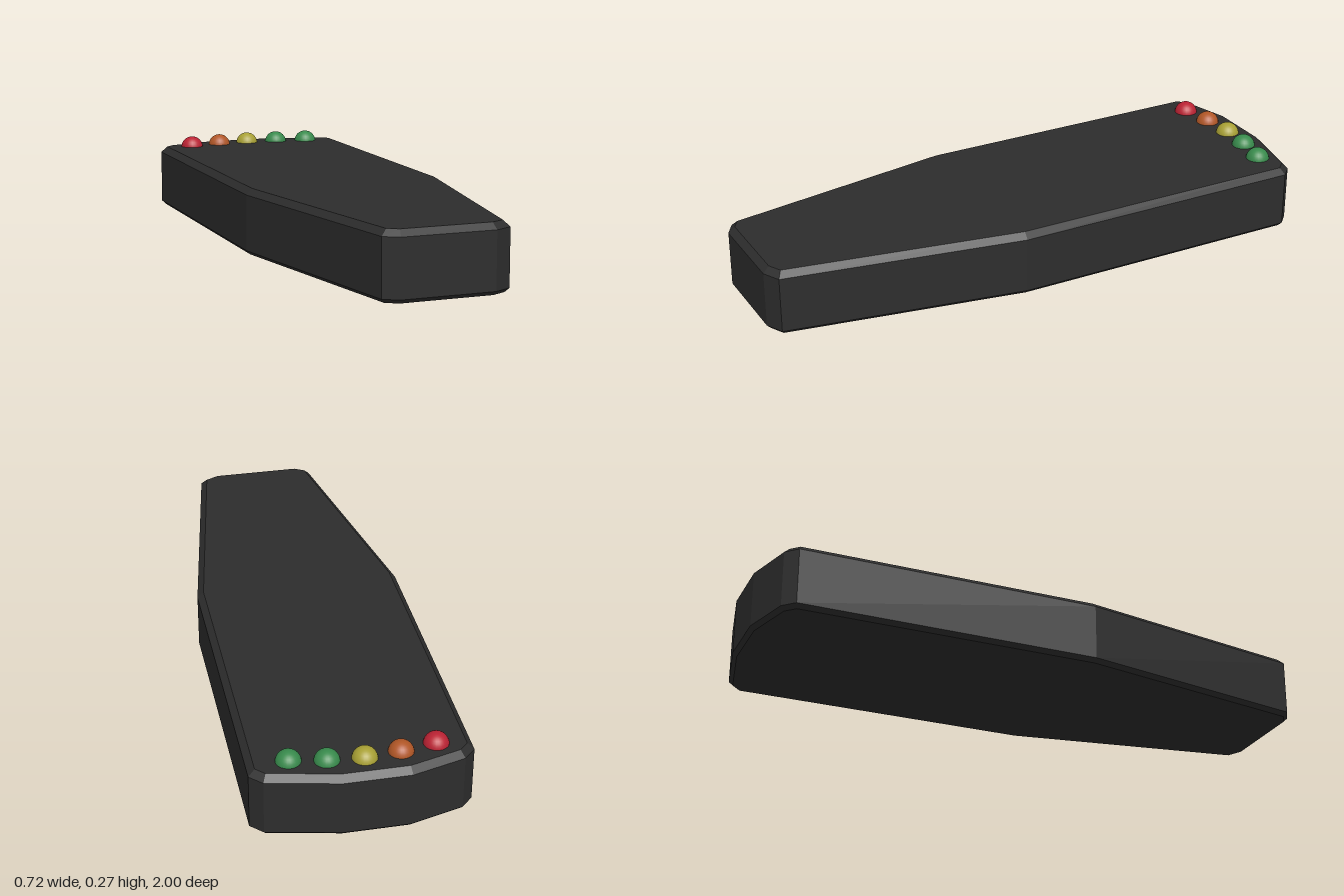
import * as THREE from 'three';

// Plan outline as [x, z], running from the front edge round the left side
const OUTLINE = [
  [-0.16, 1], [0.16, 1], [0.22, 0.97], [0.36, 0.14], [0.36, -0.91], [0.32, -0.95],
  [0.08, -1], [-0.14, -1], [-0.32, -0.95], [-0.36, -0.91], [-0.36, 0.14], [-0.21, 0.97],
];

// Move every edge of the outline inwards by d, with mitred corners
function inset(points, d) {
  const n = points.length;
  const normal = (a, b) => {
    const dx = b[0] - a[0], dz = b[1] - a[1], l = Math.hypot(dx, dz);
    return [dz / l, -dx / l];
  };
  return points.map((p, i) => {
    const a = normal(points[(i + n - 1) % n], p);
    const b = normal(p, points[(i + 1) % n]);
    const k = d / (1 + a[0] * b[0] + a[1] * b[1]);
    return [p[0] + (a[0] + b[0]) * k, p[1] + (a[1] + b[1]) * k];
  });
}

// Flat-faced casing lofted through stacked rings, closed at both ends
function casingGeometry() {
  const rings = [[0, 0.014], [0.014, 0], [0.207, 0], [0.228, 0.022]].map(([y, d]) =>
    inset(OUTLINE, d).map(([x, z]) => [x, y, z]));
  const pos = [];
  const tri = (...v) => v.forEach((p) => pos.push(...p));
  const n = OUTLINE.length, last = rings.length - 1;
  for (let i = 0; i < n; i++) {
    const j = (i + 1) % n;
    for (let r = 0; r < last; r++) {
      const lo = rings[r], hi = rings[r + 1];
      tri(lo[i], lo[j], hi[j]);
      tri(lo[i], hi[j], hi[i]);
    }
    tri([0, 0.228, 0], rings[last][i], rings[last][j]);
    tri([0, 0, 0], rings[0][j], rings[0][i]);
  }
  const g = new THREE.BufferGeometry();
  g.setAttribute('position', new THREE.Float32BufferAttribute(pos, 3));
  g.computeVertexNormals();
  return g;
}

function material(name, color) {
  const m = new THREE.MeshStandardMaterial({ color });
  m.name = name;
  return m;
}

export function createModel() {
  const group = new THREE.Group();
  group.name = 'handheldMeter';

  const casing = new THREE.Mesh(casingGeometry(), material('black plastic', 0x2d2d2d));
  casing.name = 'casing';
  group.add(casing);

  // Row of indicator lights along the curved back edge
  const red = material('red light', 0xba2233);
  const orange = material('orange light', 0xb05626);
  const yellow = material('yellow light', 0xa8a034);
  const green = material('green light', 0x388a4c);
  const bulb = new THREE.SphereGeometry(0.042, 24, 16);
  const lights = [
    ['redLight', red, -0.88], ['orangeLight', orange, -0.9], ['yellowLight', yellow, -0.91],
    ['innerGreenLight', green, -0.9], ['outerGreenLight', green, -0.88],
  ];
  lights.forEach(([name, mat, z], i) => {
    const light = new THREE.Mesh(bulb, mat);
    light.name = name;
    light.position.set(-0.243 + i * 0.118, 0.224, z);
    group.add(light);
  });
  return group;
}
